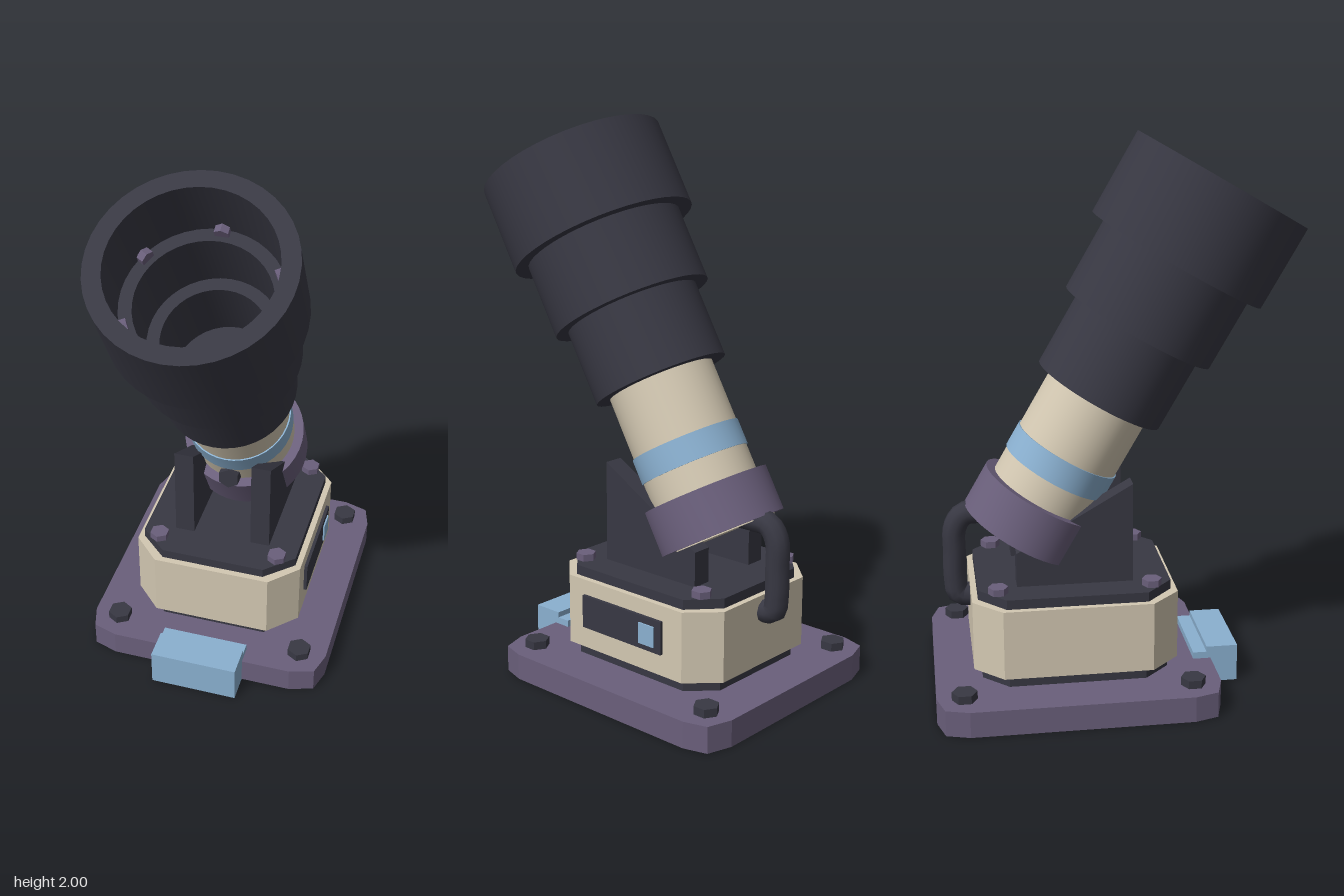
import * as THREE from 'three';
import { toCreasedNormals } from 'three/addons/utils/BufferGeometryUtils.js';

const paint = (name, color) => {
  const m = new THREE.MeshStandardMaterial({ color });
  m.name = name;
  return m;
};

export function createModel() {
  const root = new THREE.Group();
  root.name = 'mortarTurret';
  const dark = paint('charcoal', 0x383843);
  const purple = paint('purple', 0x6a5f7b);
  const cream = paint('cream', 0xd3c8b2);
  const blue = paint('blue', 0x8ab0d0);

  const add = (parent, name, geo, mat, x = 0, y = 0, z = 0) => {
    const m = new THREE.Mesh(geo, mat);
    m.name = name;
    m.position.set(x, y, z);
    parent.add(m);
    return m;
  };

  // Horizontal slab: a corner list for one quadrant is mirrored into all four
  const slab = (name, corner, height, mat, y, z) => {
    const back = [...corner].reverse();
    const pts = [
      ...corner,
      ...back.map(([a, b]) => [-a, b]),
      ...corner.map(([a, b]) => [-a, -b]),
      ...back.map(([a, b]) => [a, -b]),
    ].map(([a, b]) => new THREE.Vector2(a, b));
    const geo = new THREE.ExtrudeGeometry(new THREE.Shape(pts), { depth: height, bevelEnabled: false });
    geo.rotateX(-Math.PI / 2);
    return add(root, name, geo, mat, 0, y, z);
  };
  const hex = (r, h) => toCreasedNormals(new THREE.CylinderGeometry(r, r, h, 6), 0.5);

  // Base and housing
  slab('basePlate', [[0.46, 0.393], [0.435, 0.477], [0.345, 0.505]], 0.095, purple, 0, -0.17);
  slab('housingFoot', [[0.288, 0.245], [0.2, 0.335]], 0.045, dark, 0.095, -0.17);
  slab('housing', [[0.32, 0.265], [0.22, 0.367]], 0.255, cream, 0.14, -0.169);
  slab('housingLid', [[0.298, 0.25], [0.195, 0.345]], 0.035, dark, 0.395, -0.17);
  for (const x of [-1, 1]) {
    for (const z of [-1, 1]) {
      add(root, 'baseBolt', hex(0.045, 0.03), dark, x * 0.358, 0.11, -0.173 + z * 0.404);
      add(root, 'lidBolt', hex(0.036, 0.025), purple, x * 0.23, 0.4425, -0.172 + z * 0.273);
    }
  }

  // Front step block
  add(root, 'frontBlock', new THREE.BoxGeometry(0.325, 0.14, 0.115), blue, 0, 0.07, 0.3775);
  add(root, 'frontBlockTongue', new THREE.BoxGeometry(0.325, 0.12, 0.05), blue, 0, 0.06, 0.295);

  // Side panel with indicator
  add(root, 'sidePanel', new THREE.BoxGeometry(0.014, 0.12, 0.37), dark, 0.325, 0.28, -0.165);
  add(root, 'indicator', new THREE.BoxGeometry(0.008, 0.075, 0.07), blue, 0.334, 0.278, -0.287);

  // Sloped support cheeks
  const cheek = new THREE.Shape([[-0.375, 0.42], [0.04, 0.42], [0.04, 0.795], [-0.375, 0.555]]
    .map(([a, b]) => new THREE.Vector2(a, b)));
  const cheekGeo = new THREE.ExtrudeGeometry(cheek, { depth: 0.073, bevelEnabled: false });
  cheekGeo.rotateY(-Math.PI / 2);
  for (const x of [0.184, -0.111]) add(root, 'supportCheek', cheekGeo, dark, x);

  // Tilted barrel: origin at the muzzle centre, local y runs along the bore
  const barrel = new THREE.Group();
  barrel.name = 'barrelAssembly';
  barrel.position.set(0, 1.83, 0.38);
  barrel.rotation.x = Math.PI / 6;
  root.add(barrel);

  const tube = (name, outer, inner, from, to, mat) => {
    const pts = [[inner, -to], [outer, -to], [outer, -from], [inner, -from], [inner, -to]]
      .map(([r, y]) => new THREE.Vector2(r, y));
    return add(barrel, name, toCreasedNormals(new THREE.LatheGeometry(pts, 40), 0.5), mat);
  };
  const rod = (name, r, from, to, mat) =>
    add(barrel, name, toCreasedNormals(new THREE.CylinderGeometry(r, r, to - from, 40), 0.5), mat, 0, -(from + to) / 2);

  tube('muzzleSleeve', 0.34, 0.278, 0, 0.318, dark);
  tube('middleSleeve', 0.291, 0.232, 0.25, 0.592, dark);
  tube('lowerSleeve', 0.245, 0.187, 0.5, 0.87, dark);
  rod('boreFloor', 0.19, 0.776, 0.79, dark);
  rod('barrelCore', 0.195, 0.79, 1.456, cream);
  tube('barrelBand', 0.2, 0.19, 1.1, 1.193, blue);
  tube('breechCollar', 0.23, 0.19, 1.288, 1.452, purple);

  // Six bolts around the inside of the muzzle
  for (let i = 0; i < 6; i++) {
    const arm = new THREE.Group();
    arm.name = 'muzzleBoltArm';
    arm.rotation.y = (i * Math.PI) / 3;
    barrel.add(arm);
    add(arm, 'muzzleBolt', hex(0.028, 0.04), purple, 0, -0.24, 0.27).rotation.x = Math.PI / 2;
  }

  // Feed hose from the breech down into the back of the housing
  const path = new THREE.CatmullRomCurve3([
    [0.65, -0.3], [0.655, -0.48], [0.648, -0.55], [0.6, -0.583], [0.5, -0.587],
    [0.4, -0.587], [0.345, -0.575], [0.335, -0.5],
  ].map(([y, z]) => new THREE.Vector3(0, y, z)));
  add(root, 'feedHose', new THREE.TubeGeometry(path, 32, 0.043, 10), dark);
  // Pivot bolt on the front of the barrel
  add(root, 'pivotBolt', hex(0.042, 0.12), dark, 0, 0.652, -0.1).rotation.x = Math.PI / 2;

  return root;
}
